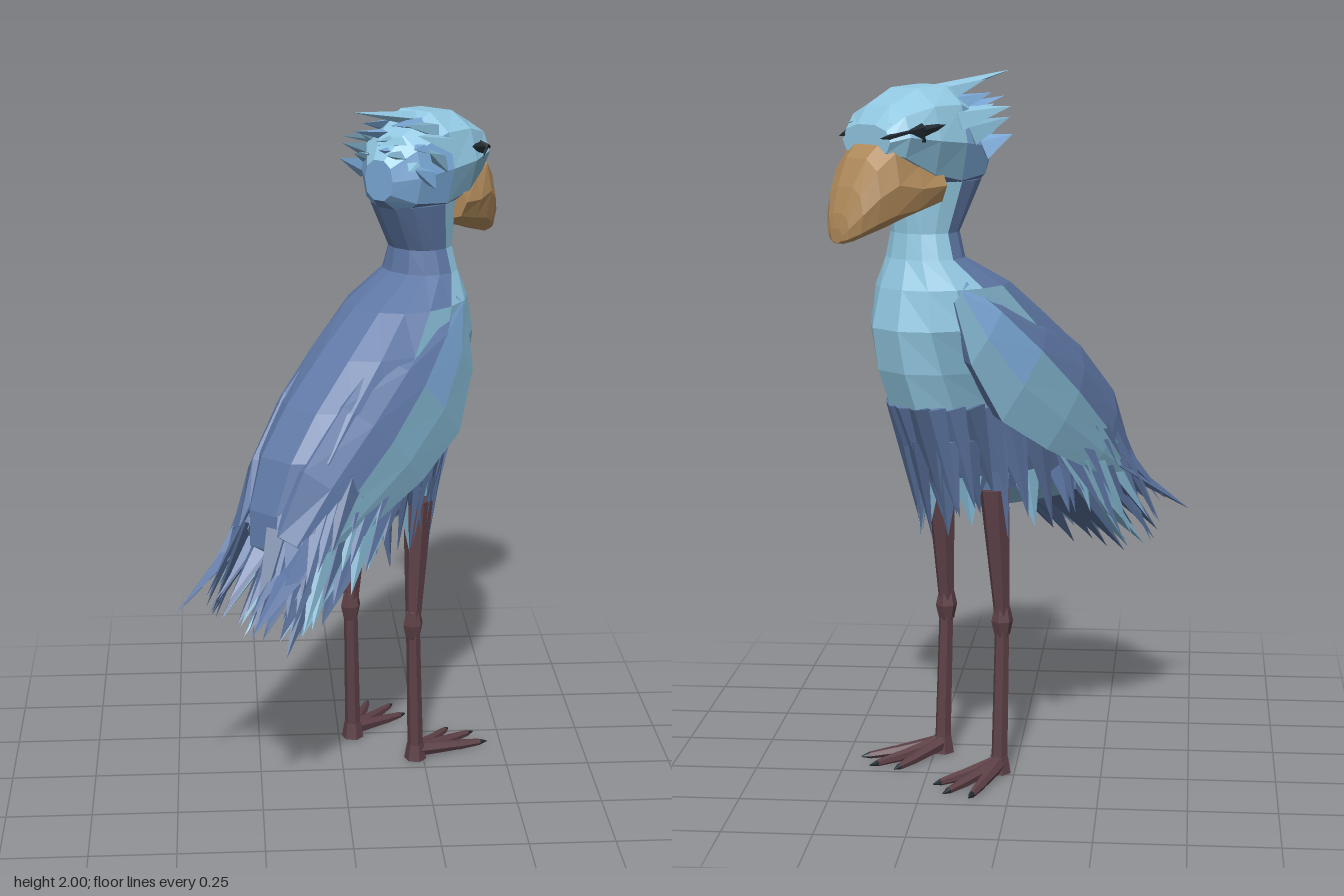
import * as THREE from 'three';
import { mergeGeometries } from 'three/addons/utils/BufferGeometryUtils.js';

const V = (x, y, z) => new THREE.Vector3(x, y, z);

export function createModel() {
  const mat = (name, color) => {
    const m = new THREE.MeshStandardMaterial({ color, flatShading: true });
    m.name = name;
    return m;
  };
  const pale = mat('pale blue', 0x92c8e2);
  const teal = mat('teal blue', 0x7fb0ca);
  const sky = mat('sky blue', 0x7aa8d6);
  const slate = mat('slate blue', 0x5e77a4);
  const dark = mat('dark slate', 0x52688f);
  const horn = mat('horn brown', 0xb08a5b);
  const leg = mat('leg maroon', 0x5c4046);
  const eye = mat('eye black', 0x1f2930);
  const plumage = [pale, teal, slate, sky];

  // The bird is built facing +z, then turned to its heading
  const bird = new THREE.Group();
  bird.name = 'bird';
  bird.rotation.y = 2.405;

  let seed = 7;
  const rnd = (a, b) => {
    seed = (seed * 16807) % 2147483647;
    return a + (b - a) * seed / 2147483647;
  };

  const add = (name, geo, material) => {
    const m = new THREE.Mesh(geo, material);
    m.name = name;
    bird.add(m);
  };

  // Skin a list of rings (equal point counts); pick(centre, column) gives a material index
  function loft(rings, pick = () => 0) {
    const buckets = [];
    const mid = r => r.reduce((s, p) => s.add(p), V(0, 0, 0)).divideScalar(r.length);
    const tri = (a, b, c, inside, k) => {
      const n = b.clone().sub(a).cross(c.clone().sub(a));
      const out = a.clone().add(b).add(c).divideScalar(3).sub(inside);
      const t = n.dot(out) < 0 ? [a, c, b] : [a, b, c];
      (buckets[k] ||= []).push(...t.flatMap(p => p.toArray()));
    };
    for (let i = 0; i < rings.length - 1; i++) {
      const A = rings[i], B = rings[i + 1], inside = mid(A).add(mid(B)).divideScalar(2);
      for (let j = 0; j < A.length; j++) {
        const l = (j + 1) % A.length;
        const k = pick(mid([A[j], A[l], B[j], B[l]]), j);
        tri(A[j], A[l], B[l], inside, k);
        tri(A[j], B[l], B[j], inside, k);
      }
    }
    const centre = mid(rings.map(mid));
    for (const r of [rings[0], rings.at(-1)]) {
      const c = mid(r);
      r.forEach((p, j) => tri(p, r[(j + 1) % r.length], c, centre, pick(c, 0)));
    }
    const geo = new THREE.BufferGeometry();
    let start = 0;
    buckets.forEach((b, k) => { geo.addGroup(start, b.length / 3, k); start += b.length / 3; });
    geo.setAttribute('position', new THREE.Float32BufferAttribute(buckets.flat(), 3));
    geo.computeVertexNormals();
    return geo;
  }

  // Body and neck sections: height, front z, back z, half width
  const body = [
    [1.71, 0.46, 0.19, 0.115], [1.57, 0.45, 0.27, 0.095], [1.50, 0.46, 0.26, 0.115],
    [1.42, 0.49, 0.10, 0.165], [1.31, 0.515, -0.05, 0.19], [1.19, 0.495, -0.2, 0.20],
    [1.07, 0.45, -0.31, 0.195], [0.93, 0.39, -0.37, 0.17], [0.83, 0.33, -0.38, 0.14],
    [0.77, 0.18, -0.32, 0.08],
  ];
  const skin = (y, a) => {
    let i = 0;
    while (i < body.length - 2 && y < body[i + 1][0]) i++;
    const t = (y - body[i][0]) / (body[i + 1][0] - body[i][0]);
    const [f, b, w] = [1, 2, 3].map(k => THREE.MathUtils.lerp(body[i][k], body[i + 1][k], t));
    const s = Math.sin(a), c = Math.cos(a);
    return V(w * Math.sign(s) * Math.abs(s) ** 0.85, y, (f + b) / 2 + (f - b) / 2 * c);
  };
  const bodyColour = p => {
    if (p.y > 1.43) return p.z > 0.35 ? 0 : 2;
    if (p.y < 0.84) return 1;
    if (p.y < 1.07 || p.y > 1.4 + (p.z - 0.25) * 0.9) return 2;
    return Math.abs(p.x) > 0.15 ? 1 : 0;
  };
  const N = 14;
  add('bodyAndNeck', loft(body.map(r => Array.from({ length: N }, (_, j) =>
    skin(r[0], (j + 0.5) / N * Math.PI * 2))), bodyColour), plumage);

  // One pointed feather from base to tip, flattened along the given normal
  const cone = new THREE.ConeGeometry(1, 1, 4).translate(0, 0.5, 0);
  function feather(base, tip, width, thick, normal) {
    const d = tip.clone().sub(base), len = d.length();
    d.normalize();
    const x = d.clone().cross(normal).normalize();
    const z = x.clone().cross(d);
    const m = new THREE.Matrix4().makeBasis(x, d, z).setPosition(base);
    return cone.clone().scale(width, len, thick).applyMatrix4(m);
  }
  const plume = (name, list, material) => add(name, mergeGeometries(list), material);

  // Folded wings: distance along the wing, lower edge, upper edge, outward reach
  const wingAt = (t, q, x) => V(x, 1.42 - 0.67 * t + 0.74 * q, 0.32 - 0.74 * t - 0.67 * q);
  const wingRows = [
    [-0.03, -0.07, 0.02, 0.15], [0.1, -0.18, 0.07, 0.19], [0.28, -0.24, 0.125, 0.212],
    [0.48, -0.2, 0.15, 0.21], [0.7, -0.13, 0.14, 0.18], [0.88, -0.06, 0.07, 0.14],
  ];
  const wingColour = (p, j) => (j === 0 ? 1 : j === 1 ? (p.y > 1.15 ? 3 : 1) : 2);
  for (const s of [-1, 1]) {
    const rings = wingRows.map(([t, lo, hi, x]) => {
      const qs = [lo, lo * 0.5, 0, hi * 0.5, hi], reach = [1.02, 1.04, 0.99, 0.85, 0.52];
      const outer = qs.map((q, i) => wingAt(t, q, s * x * reach[i]));
      return [...outer, wingAt(t, hi * 0.9, s * x * 0.3), wingAt(t, lo * 0.9, s * x * 0.6)];
    });
    add('wing', loft(rings, wingColour), plumage);
  }

  // Ragged feathers trailing from the wings, rooted under the surface
  const wing = { slate: [], dark: [], teal: [] };
  for (const s of [-1, 1]) {
    for (let i = 0; i < 7; i++) {
      const t = 0.46 + i * 0.066, taper = 1 - 0.5 * Math.max(0, t - 0.6) / 0.28;
      for (const [k, q, x] of [[0, 0.1, 0.09], [1, 0.04, 0.155], [2, -0.06, 0.17], [3, -0.13, 0.165]]) {
        const base = wingAt(t, q * taper, s * x * (0.4 + 0.6 * taper)), len = rnd(0.2, 0.3);
        const tip = base.clone().add(V(s * rnd(0.015, 0.04), -len * 0.86, -len * rnd(0.35, 0.6)));
        const kind = k > 1 && i % 2 ? 'teal' : (i + k) % 3 ? 'slate' : 'dark';
        wing[kind].push(feather(base, tip, 0.05, 0.018, V(s, 0.5, -0.5)));
      }
    }
  }
  plume('wingFeathers', wing.slate, slate);
  plume('wingShadowFeathers', wing.dark, dark);
  plume('wingTealFeathers', wing.teal, teal);

  // Skirt feathers hanging below the breast and flanks
  const skirt = { slate: [], dark: [], teal: [] };
  for (const [y, len, n, spread] of [[1.09, 0.31, 13, 2.6], [0.99, 0.25, 15, 3.6], [0.88, 0.16, 13, 4]]) {
    for (let i = 0; i < n; i++) {
      const a = ((i + 0.5) / n - 0.5) * spread + rnd(-0.05, 0.05);
      const nrm = V(Math.sin(a), 0, Math.cos(a));
      const p = skin(y, a).addScaledVector(nrm, -0.012);
      const q = skin(Math.max(y - len, 0.84), a);
      const tip = V(q.x * 1.15, y - len * rnd(0.85, 1.2), q.z).addScaledVector(nrm, 0.012);
      const kind = y < 0.9 && i % 2 === 0 ? 'teal' : i % 3 === 1 ? 'dark' : 'slate';
      skirt[kind].push(feather(p, tip, 0.045, 0.016, nrm));
    }
  }
  plume('skirtFeathers', skirt.slate, slate);
  plume('skirtShadowFeathers', skirt.dark, dark);
  plume('skirtTealFeathers', skirt.teal, teal);

  // Tail fan in layers: base height and z, tip height and z, feather width
  const tailLayers = [
    ['tailUpperFeathers', slate, 0.92, -0.24, 0.66, -0.5, 0.06],
    ['tailMiddleFeathers', dark, 0.85, -0.22, 0.58, -0.47, 0.06],
    ['tailLowerFeathers', teal, 0.81, -0.16, 0.55, -0.4, 0.065],
    ['tailUnderFeathers', dark, 0.82, -0.08, 0.55, -0.3, 0.07],
  ];
  for (const [name, m, y0, z0, y1, z1, w] of tailLayers) {
    plume(name, Array.from({ length: 6 }, (_, i) => {
      const k = (i - 2.5) / 2.5;
      const tip = V(k * 0.14, y1 + rnd(0, 0.05), z1 + rnd(-0.02, 0.04));
      return feather(V(k * 0.11, y0, z0), tip, w, 0.04, V(k * 0.4, 1, -0.5));
    }), m);
  }
  plume('tailSpikes', [-1, 1].map(s =>
    feather(V(s * 0.11, 0.86, -0.26), V(s * 0.14, 0.66, -0.575), 0.06, 0.03, V(s * 0.4, 1, -0.5))), slate);

  // Head sections: z, centre height, half height, half width
  const oval = (z, y, h, w, pow, n = 10) => Array.from({ length: n }, (_, j) => {
    const a = (j + 0.5) / n * Math.PI * 2, s = Math.sin(a), c = Math.cos(a);
    return V(w * Math.sign(s) * Math.abs(s) ** pow, y + h * Math.sign(c) * Math.abs(c) ** pow, z);
  });
  const skull = [
    [0.16, 1.79, 0.06, 0.05], [0.22, 1.80, 0.12, 0.11], [0.33, 1.815, 0.16, 0.143],
    [0.43, 1.825, 0.142, 0.15], [0.52, 1.837, 0.085, 0.13], [0.565, 1.825, 0.045, 0.1],
  ];
  const headColour = p => (p.y < 1.71 ? 2 : p.z < 0.3 && p.y < 1.86 ? 3 : p.y < 1.8 ? 1 : 0);
  add('head', loft(skull.map(r => oval(...r, 0.85)), headColour), plumage);

  // Heavy hooked beak: z, top, bottom, half width
  const beak = [
    [0.4, 1.77, 1.64, 0.138], [0.48, 1.785, 1.615, 0.133], [0.55, 1.835, 1.59, 0.119],
    [0.60, 1.785, 1.575, 0.1], [0.64, 1.71, 1.562, 0.075], [0.665, 1.64, 1.557, 0.045],
    [0.672, 1.60, 1.56, 0.022],
  ];
  add('beak', loft(beak.map(([z, t, b, w]) => oval(z, (t + b) / 2, (t - b) / 2, w, 0.75))), horn);

  // Eyes under pointed brows
  for (const s of [-1, 1]) {
    add('eye', mergeGeometries([
      feather(V(s * 0.125, 1.852, 0.475), V(s * 0.085, 1.835, 0.59), 0.032, 0.03, V(s, 0.5, 0.4)),
      feather(V(s * 0.125, 1.85, 0.485), V(s * 0.146, 1.868, 0.41), 0.026, 0.02, V(s, 0.3, 0.2)),
    ]), eye);
    add('brow', feather(V(s * 0.095, 1.905, 0.40), V(s * 0.08, 1.868, 0.565), 0.045, 0.028, V(s * 0.6, 1, 0.2)), pale);
  }

  // Ragged crest swept back from the crown
  const crest = [[], [], []];
  for (let row = 0; row < 3; row++) for (let i = 0; i < 7; i++) {
    const k = (i - 3) / 3;
    const base = V(k * 0.11, 1.94 - row * 0.04 - k * k * 0.06, 0.35 - row * 0.05);
    const tip = V(k * 0.14 + rnd(-0.025, 0.025), 1.975 - row * 0.05 - k * k * 0.05 + rnd(-0.025, 0.025),
      0.09 + rnd(0, 0.08) + Math.abs(k) * 0.02);
    if (row === 0 && i === 3) tip.set(0, 2, 0.04);
    crest[(i + row) % 3].push(feather(base, tip, 0.045, 0.024, V(k, 1, 0)));
  }
  plume('crestFeathers', crest[0], pale);
  plume('crestTealFeathers', crest[1], teal);
  plume('crestShadowFeathers', crest[2], sky);

  // Legs with knobbly joints, splayed toes and dark claws
  const limb = (a, b, r0, r1) => {
    const d = b.clone().sub(a), g = new THREE.CylinderGeometry(r1, r0, d.length(), 6);
    g.applyQuaternion(new THREE.Quaternion().setFromUnitVectors(V(0, 1, 0), d.normalize()));
    const c = a.clone().add(b).multiplyScalar(0.5);
    return g.translate(c.x, c.y, c.z);
  };
  for (const s of [-1, 1]) {
    const hip = V(s * 0.115, 0.84, 0.21), knee = V(s * 0.12, 0.45, 0.185), ankle = V(s * 0.123, 0.03, 0.20);
    const parts = [
      limb(knee, hip, 0.022, 0.044), limb(ankle, knee, 0.024, 0.021),
      new THREE.SphereGeometry(0.033, 6, 4).scale(0.9, 1.8, 1).translate(knee.x, knee.y, knee.z),
      new THREE.CylinderGeometry(0.026, 0.034, 0.05, 6).translate(ankle.x, 0.025, ankle.z),
    ];
    const claws = [];
    for (const [x, z] of [[0.235, 0.42], [0.16, 0.45], [0.085, 0.42]]) {
      const along = t => V(s * (0.123 + (x - 0.123) * t), 0.025 - 0.017 * t, 0.2 + (z - 0.2) * t);
      parts.push(limb(ankle, along(0.6), 0.024, 0.015), limb(along(0.6), along(0.9), 0.016, 0.01));
      claws.push(limb(along(0.89), along(1), 0.01, 0.002));
    }
    const side = s > 0 ? 'left' : 'right';
    add(side + 'Leg', mergeGeometries(parts), leg);
    add(side + 'Claws', mergeGeometries(claws), eye);
  }

  const model = new THREE.Group();
  model.name = 'model';
  model.add(bird);
  return model;
}
